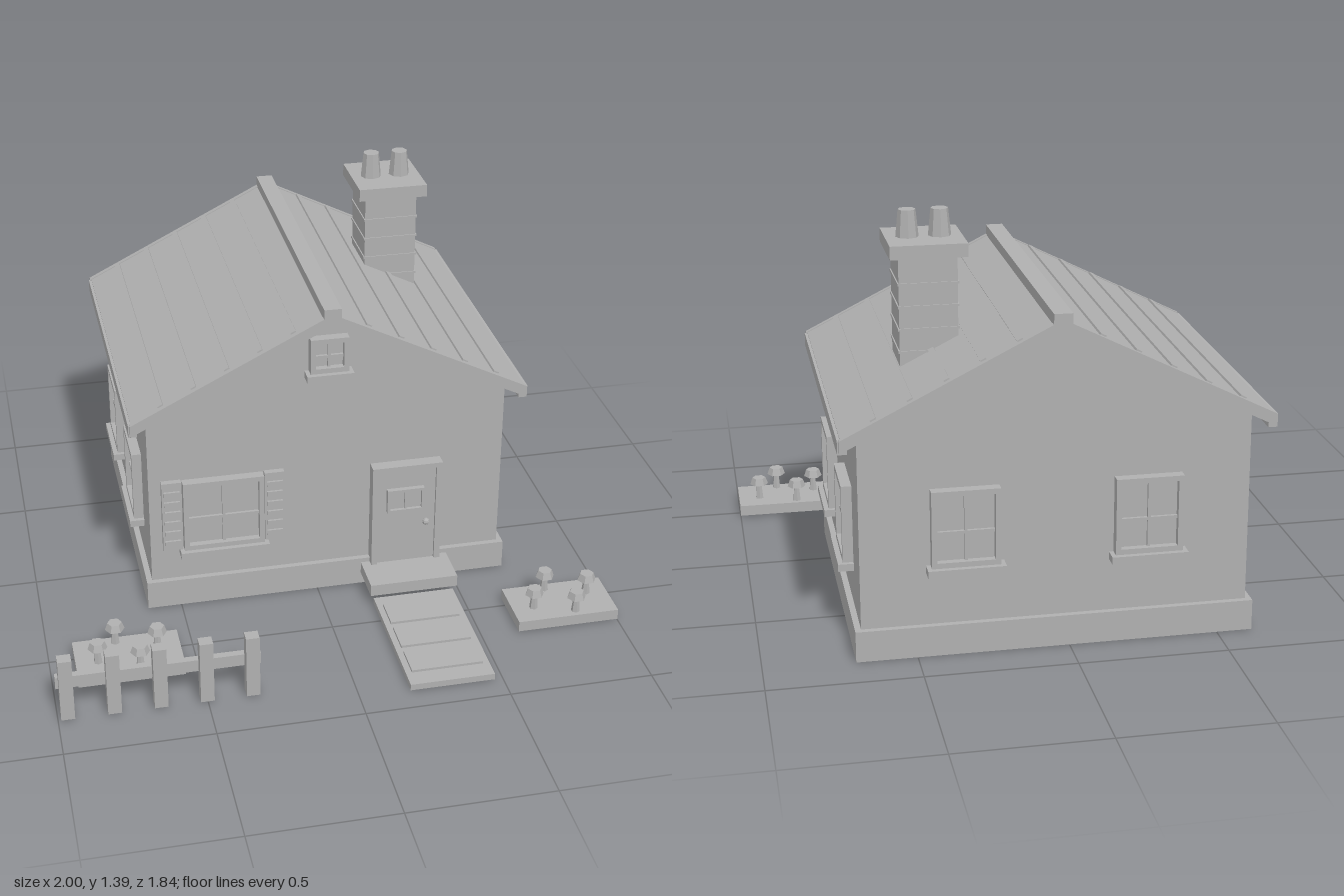
import * as THREE from 'three';

const grey = new THREE.MeshStandardMaterial({ color: 0xb0b0b0, flatShading: true });
grey.name = 'plain grey';

function add(parent, name, geometry, x = 0, y = 0, z = 0) {
  const mesh = new THREE.Mesh(geometry, grey);
  mesh.name = name;
  mesh.position.set(x, y, z);
  parent.add(mesh);
  return mesh;
}

// Box given by its min and max along each axis
function box(parent, name, x0, x1, y0, y1, z0, z1) {
  return add(parent, name, new THREE.BoxGeometry(x1 - x0, y1 - y0, z1 - z0),
    (x0 + x1) / 2, (y0 + y1) / 2, (z0 + z1) / 2);
}

function group(parent, name, x = 0, y = 0, z = 0, turn = 0) {
  const g = new THREE.Group();
  g.name = name;
  g.position.set(x, y, z);
  g.rotation.y = turn;
  parent.add(g);
  return g;
}

// Outline in x and y, extruded from z0 to z1
function slab(parent, name, points, z0, z1) {
  const shape = new THREE.Shape(points.map(p => new THREE.Vector2(p[0], p[1])));
  return add(parent, name,
    new THREE.ExtrudeGeometry(shape, { depth: z1 - z0, bevelEnabled: false }), 0, 0, z0);
}

// Rectangular ring standing on y = 0
function frame(parent, name, w, h, t, depth) {
  const shape = new THREE.Shape([[-w / 2, 0], [w / 2, 0], [w / 2, h], [-w / 2, h]]
    .map(p => new THREE.Vector2(...p)));
  const a = w / 2 - t;
  shape.holes.push(new THREE.Path([[-a, t], [-a, h - t], [a, h - t], [a, t]]
    .map(p => new THREE.Vector2(...p))));
  return add(parent, name, new THREE.ExtrudeGeometry(shape, { depth, bevelEnabled: false }));
}

// Four-pane window with a sill, facing +z from its wall
function windowUnit(parent, name, x, y, z, turn, w, h, sill = 0.015) {
  const g = group(parent, name, x, y, z, turn);
  frame(g, 'windowFrame', w, h, 0.018, 0.035);
  box(g, 'windowGlass', -w / 2 + 0.01, w / 2 - 0.01, 0.01, h - 0.01, 0, 0.012);
  box(g, 'verticalBar', -0.005, 0.005, 0.01, h - 0.01, 0, 0.022);
  box(g, 'horizontalBar', -w / 2 + 0.01, w / 2 - 0.01, h * 0.44 - 0.005, h * 0.44 + 0.005, 0, 0.022);
  box(g, 'windowSill', -w / 2 - sill, w / 2 + sill, -0.025, 0, 0, 0.052);
  return g;
}

function buildRoof(house) {
  const roof = group(house, 'roof');
  // Chevron outline: falls half a unit per unit from the ridge
  const chevron = (half, top, thick) => {
    const eave = top - half / 2;
    return [[0, top], [-half, eave], [-half, eave - thick], [0, top - thick],
      [half, eave - thick], [half, eave]];
  };
  slab(roof, 'roofPanels', chevron(0.695, 1.123, 0.03), -0.905, 0.28);
  for (const z of [-0.92, 0.275])
    slab(roof, 'bargeBoard', chevron(0.7, 1.126, 0.042), z, z + 0.02);
  box(roof, 'ridgeCap', -0.03, 0.03, 1.105, 1.145, -0.92, 0.295);
  for (const side of [-1, 1]) {
    add(roof, 'eaveBoard', new THREE.BoxGeometry(0.03, 0.045, 1.19), side * 0.69, 0.75, -0.312);
    // Raised seams running along the slope
    for (let i = 0; i < 5; i++) {
      const x = 0.13 + i * 0.115;
      const seam = add(roof, 'roofSeam', new THREE.BoxGeometry(0.02, 0.014, 1.17),
        side * x, 1.123 - x / 2, -0.312);
      seam.rotation.z = -side * Math.atan(0.5);
    }
  }
}

function buildChimney(house) {
  const chimney = group(house, 'chimney', 0.367, 0, -0.466);
  box(chimney, 'chimneyStack', -0.096, 0.096, 0.87, 1.26, -0.098, 0.098);
  for (const y of [0.94, 1.015, 1.09, 1.165])
    box(chimney, 'brickCourse', -0.1, 0.1, y - 0.004, y + 0.004, -0.102, 0.102);
  box(chimney, 'chimneyCap', -0.126, 0.126, 1.255, 1.3, -0.132, 0.132);
  for (const x of [-0.053, 0.053])
    add(chimney, 'chimneyPot', new THREE.CylinderGeometry(0.029, 0.038, 0.09, 8), x, 1.345, 0);
}

function buildDoor(house) {
  const door = group(house, 'door', 0.283, 0, 0.23);
  // Frame is open at the bottom
  slab(door, 'doorFrame', [[-0.128, 0.085], [-0.106, 0.085], [-0.106, 0.472], [0.106, 0.472],
    [0.106, 0.085], [0.128, 0.085], [0.128, 0.49], [-0.128, 0.49]], 0, 0.045);
  box(door, 'doorLeaf', -0.106, 0.106, 0.085, 0.472, 0, 0.034);
  const pane = group(door, 'doorWindow', -0.006, 0.305, 0.034);
  frame(pane, 'doorWindowFrame', 0.136, 0.092, 0.01, 0.018);
  box(pane, 'doorWindowGlass', -0.06, 0.06, 0.008, 0.084, 0, 0.006);
  box(pane, 'doorWindowBar', -0.004, 0.004, 0.008, 0.084, 0, 0.014);
  add(door, 'doorKnob', new THREE.SphereGeometry(0.013, 8, 6), 0.072, 0.25, 0.045);
}

function buildFlowerBed(parent, x) {
  const bed = group(parent, 'flowerBed', x, 0, 0.564);
  box(bed, 'soilBox', -0.183, 0.183, 0.004, 0.043, -0.104, 0.104);
  for (const [fx, fz] of [[-0.035, -0.074], [0.105, -0.024], [-0.106, 0.026], [0.033, 0.075]]) {
    add(bed, 'flowerStem', new THREE.CylinderGeometry(0.009, 0.016, 0.07, 6), fx, 0.073, fz);
    const bloom = add(bed, 'flowerHead', new THREE.CylinderGeometry(0.025, 0.034, 0.026, 6), fx, 0.113, fz);
    bloom.rotation.y = Math.PI / 6;
  }
}

export function createModel() {
  const model = new THREE.Group();
  model.name = 'cottage';

  // House body, centred on its own ridge line
  const house = group(model, 'house', 0.04);
  box(house, 'foundation', -0.66, 0.66, 0, 0.105, -0.86, 0.25);
  slab(house, 'walls', [[-0.64, 0.1], [0.64, 0.1], [0.64, 0.78], [0, 1.1], [-0.64, 0.78]], -0.84, 0.23);
  buildRoof(house);
  buildChimney(house);
  buildDoor(house);

  // Side and back windows
  for (const side of [-1, 1])
    for (const z of [-0.057, -0.54])
      windowUnit(house, 'sideWindow', side * 0.64, 0.26, z, side * Math.PI / 2, 0.224, 0.265);
  for (const x of [-0.3, 0.3])
    windowUnit(house, 'backWindow', x, 0.31, -0.84, Math.PI, 0.224, 0.26);

  // Gable window and shuttered front window
  windowUnit(house, 'gableWindow', -0.002, 0.89, 0.23, 0, 0.135, 0.13);
  const front = windowUnit(house, 'frontWindow', -0.379, 0.235, 0.23, 0, 0.288, 0.272);
  for (const side of [-1, 1]) {
    const shutter = group(front, 'shutter', side * 0.183, 0, 0);
    box(shutter, 'shutterPanel', -0.035, 0.035, 0, 0.275, 0, 0.022);
    for (let i = 0; i < 6; i++)
      box(shutter, 'shutterSlat', -0.028, 0.028, 0.024 + i * 0.04, 0.042 + i * 0.04, 0.02, 0.03);
  }

  // Doorstep and path
  box(model, 'doorstep', 0.162, 0.482, 0.044, 0.088, 0.24, 0.405);
  box(model, 'path', 0.175, 0.47, 0.004, 0.027, 0.395, 0.915);
  for (const z of [0.508, 0.65, 0.793])
    box(model, 'pavingSlab', 0.196, 0.446, 0.02, 0.036, z - 0.057, z + 0.057);

  buildFlowerBed(model, -0.732);
  buildFlowerBed(model, 0.817);

  // Picket fence
  const fence = group(model, 'fence');
  box(fence, 'fenceRail', -1, -0.315, 0.112, 0.156, 0.778, 0.803);
  for (let i = 0; i < 5; i++) {
    const x = -0.967 + i * 0.155;
    box(fence, 'fencePicket', x - 0.023, x + 0.023, 0.008, 0.24, 0.795, 0.837);
  }
  return model;
}
